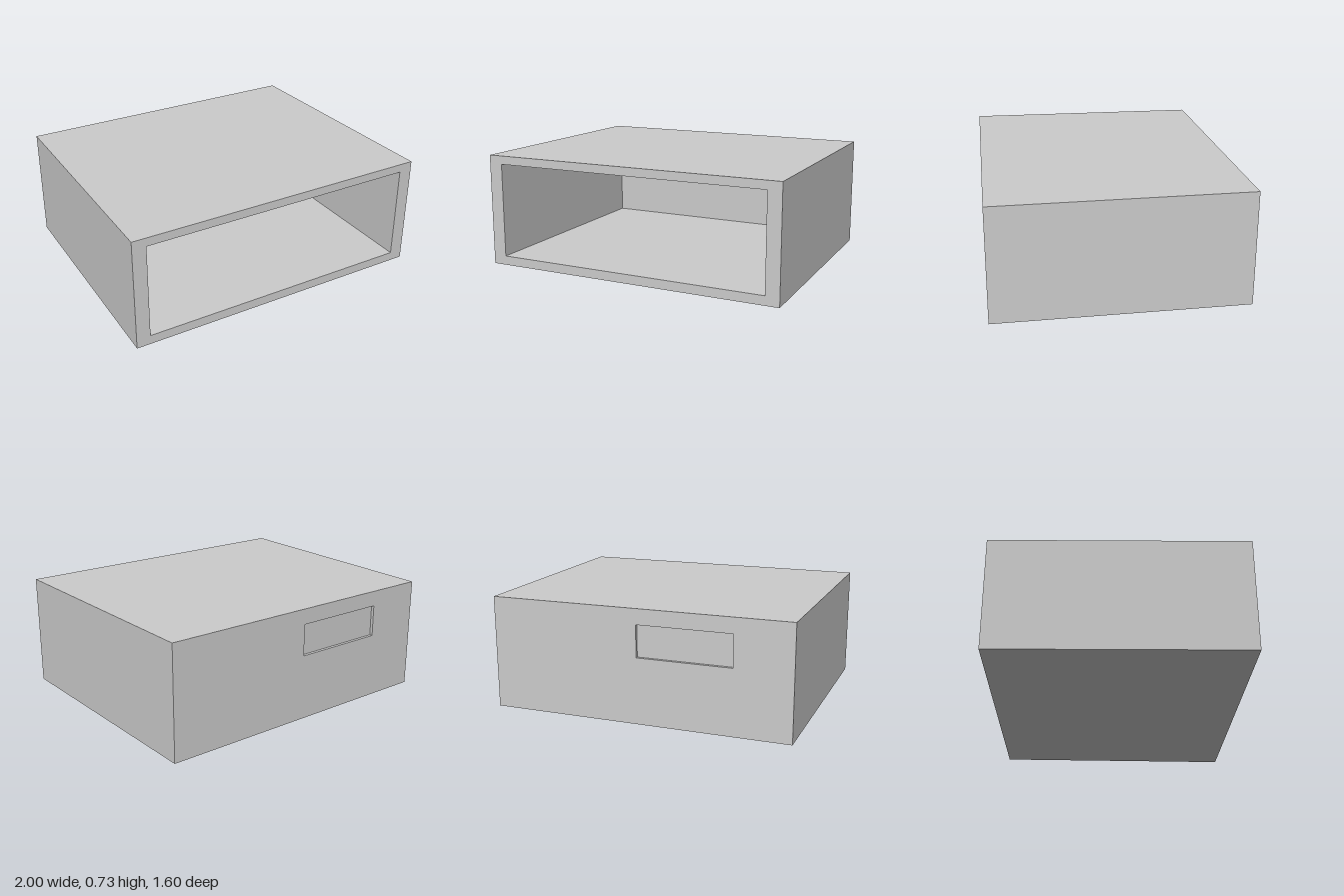
import * as THREE from 'three';

// Rectangular section at depth z, counter-clockwise seen from the front
const section = (x0, x1, y0, y1, z) => [[x0, y0, z], [x1, y0, z], [x1, y1, z], [x0, y1, z]];

// Closed skin running through rectangular sections, capped at both ends
function skin(sections) {
  const positions = [];
  const quad = (a, b, c, d) => positions.push(...a, ...b, ...c, ...a, ...c, ...d);
  for (let i = 0; i < sections.length - 1; i++) {
    const a = sections[i], b = sections[i + 1];
    for (let j = 0; j < 4; j++) {
      const k = (j + 1) % 4;
      quad(a[j], a[k], b[k], b[j]);
    }
  }
  const first = sections[0], last = sections[sections.length - 1];
  quad(first[3], first[2], first[1], first[0]);
  quad(...last);
  const geometry = new THREE.BufferGeometry();
  geometry.setAttribute('position', new THREE.Float32BufferAttribute(positions, 3));
  geometry.computeVertexNormals();
  return geometry;
}

export function createModel() {
  const group = new THREE.Group();
  group.name = 'openCase';
  const material = new THREE.MeshStandardMaterial({ color: 0xcccccc, flatShading: true });

  const panel = z => section(-0.61, 0.0, 0.425, 0.63, z);  // recessed rear panel
  const cavity = z => section(-0.91, 0.91, 0.06, 0.675, z); // straight inner walls

  // From the rear panel, around the tapered outside, into the cavity
  const shell = new THREE.Mesh(skin([
    panel(-0.78),
    panel(-0.8),
    section(-0.975, 0.975, 0, 0.73, -0.8),
    section(-1, 1, 0, 0.73, 0.8),
    cavity(0.8),
    cavity(-0.74),
    panel(-0.74),
    panel(-0.76),
  ]), material);
  shell.name = 'caseShell';
  group.add(shell);
  return group;
}
